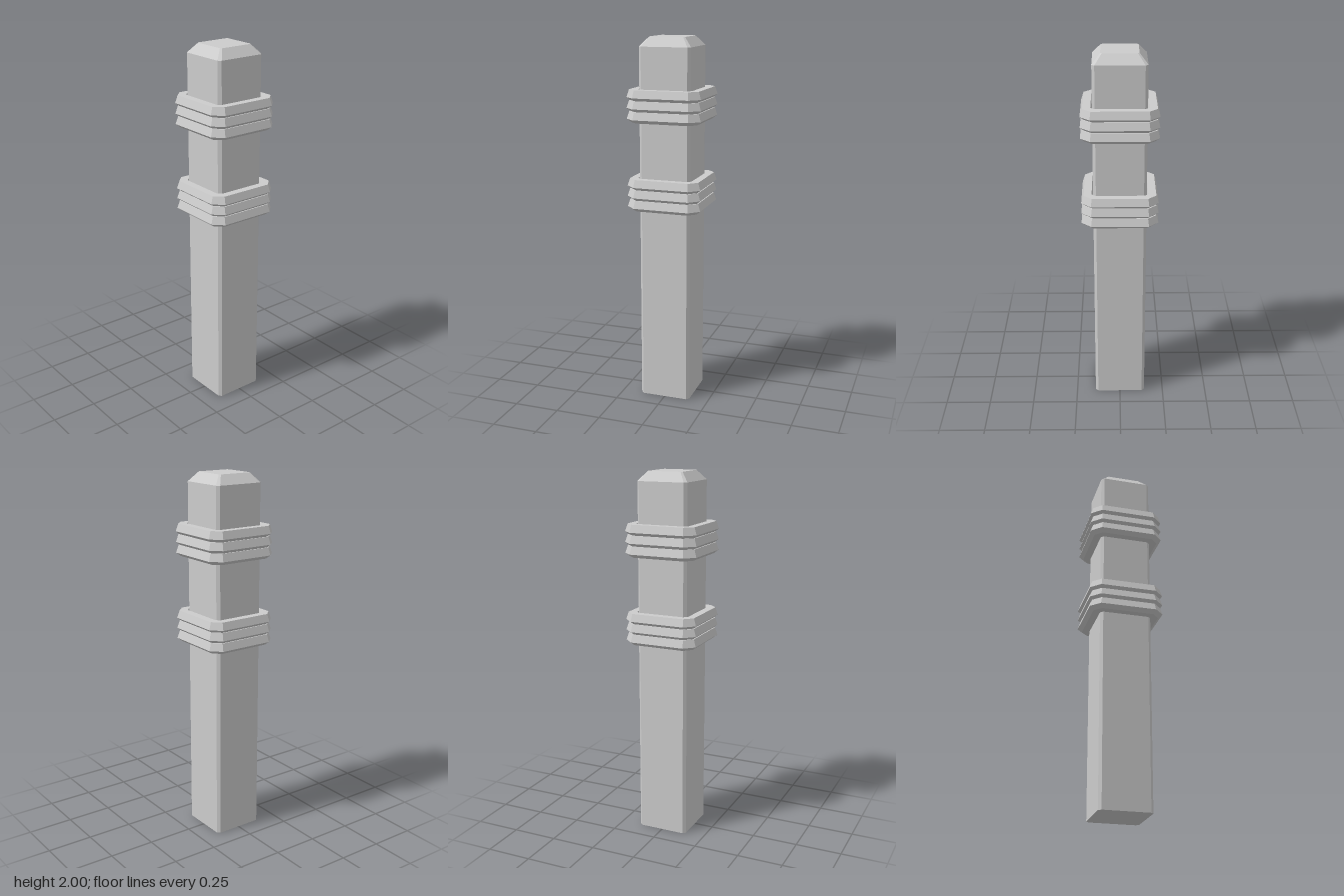
import * as THREE from 'three';

// Corner points of a square with cut corners; h = half width, c = half length of the straight side
function section([h, c, y]) {
  return [[-c, h], [c, h], [h, c], [h, -c], [c, -h], [-c, -h], [-h, -c], [-h, c]]
    .map(([x, z]) => [x, y, z]);
}

// Joins successive sections with flat faces; a section of zero width closes an end
function loft(profile) {
  const rows = profile.map(section);
  const pos = [];
  for (let i = 0; i < rows.length - 1; i++) {
    for (let j = 0; j < 8; j++) {
      const k = (j + 1) % 8;
      const a = rows[i][j], b = rows[i][k], c = rows[i + 1][k], d = rows[i + 1][j];
      if (profile[i][0] > 0) pos.push(...a, ...b, ...c);
      if (profile[i + 1][0] > 0) pos.push(...a, ...c, ...d);
    }
  }
  const geo = new THREE.BufferGeometry();
  geo.setAttribute('position', new THREE.Float32BufferAttribute(pos, 3));
  geo.computeVertexNormals();
  return geo;
}

export function createModel() {
  const model = new THREE.Group();
  model.name = 'bollard';
  const grey = new THREE.MeshStandardMaterial({ color: 0xcccccc });
  grey.name = 'light grey';

  // Square post with bevelled corners and a tapered cap
  const post = new THREE.Mesh(loft([
    [0, 0, 0],
    [0.142, 0.127, 0],
    [0.142, 0.127, 1.95],
    [0.098, 0.09, 2],
    [0, 0, 2],
  ]), grey);
  post.name = 'post';
  model.add(post);

  // One flared collar ring, its top at y = 0
  const ringGeo = loft([
    [0.14, 0.125, -0.06],
    [0.182, 0.142, -0.06],
    [0.205, 0.153, -0.041],
    [0.192, 0.148, 0],
    [0.15, 0.13, 0],
    [0.14, 0.125, -0.03],
  ]);

  // Two collars of three stacked rings
  for (const [name, top] of [['upperCollar', 1.73], ['lowerCollar', 1.255]]) {
    const collar = new THREE.Group();
    collar.name = name;
    for (let i = 0; i < 3; i++) {
      const ring = new THREE.Mesh(ringGeo, grey);
      ring.name = 'collarRing';
      ring.position.y = top - i * 0.057;
      collar.add(ring);
    }
    model.add(collar);
  }
  return model;
}
